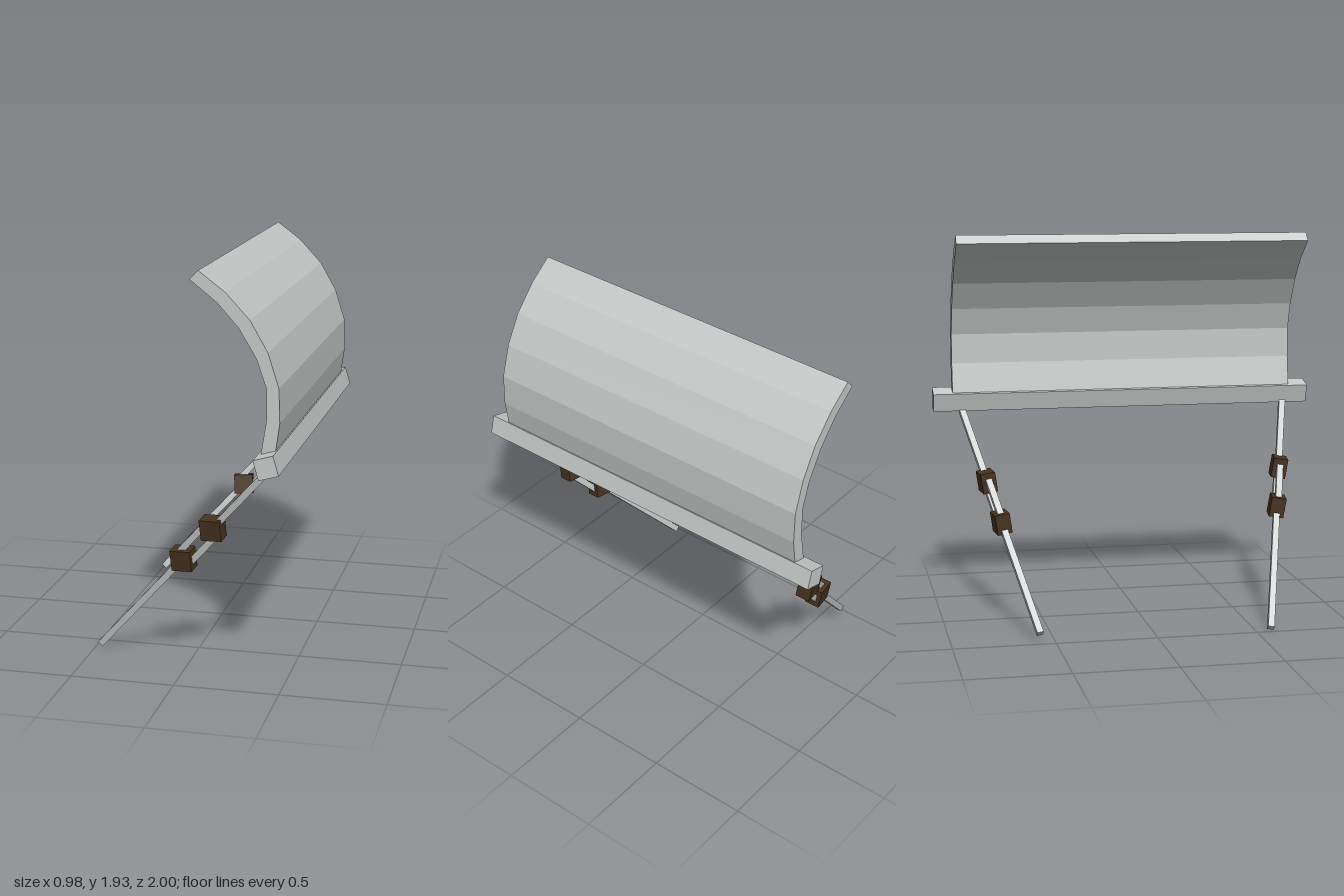
import * as THREE from 'three';

const steel = new THREE.MeshStandardMaterial({ color: 0xc3c8c6 });
steel.name = 'pale steel';
const brown = new THREE.MeshStandardMaterial({ color: 0x46331f });
brown.name = 'dark brown';

function box(name, w, h, d, material) {
  const mesh = new THREE.Mesh(new THREE.BoxGeometry(w, h, d), material);
  mesh.name = name;
  return mesh;
}

// Strut from foot to head; t0 and t1 place the two clamps along it
function makeStrut(name, foot, head, t0, t1) {
  const strut = new THREE.Group();
  strut.name = name;
  const along = head.clone().sub(foot);
  const length = along.length();
  const dir = along.normalize();
  const side = new THREE.Vector3(0, 0, 1).addScaledVector(dir, -dir.z).normalize();
  const across = new THREE.Vector3().crossVectors(dir, side);
  // local y runs up the strut, local z faces sideways
  strut.quaternion.setFromRotationMatrix(new THREE.Matrix4().makeBasis(across, dir, side));
  strut.position.copy(foot);

  const rod = (rodName, a, b, x) => {
    const mesh = box(rodName, 0.032, (b - a) * length, 0.032, steel);
    mesh.position.set(x, ((a + b) / 2) * length, 0);
    strut.add(mesh);
  };
  rod('lowerRod', 0, t0, 0);
  rod('upperRod', t1, 1, 0);
  for (const x of [-0.036, 0.036]) rod('turnbuckleRod', t0, t1, x);

  for (const t of [t0, t1]) {
    const clamp = box('clamp', 0.102, 0.102, 0.075, brown);
    clamp.position.y = t * length;
    clamp.rotation.z = Math.PI / 4;
    strut.add(clamp);
  }
  return strut;
}

export function createModel() {
  const model = new THREE.Group();
  model.name = 'curvedShieldOnStruts';

  // Curved panel: faceted arc section run along z
  const section = [
    [0.10, 1.933], [0.224, 1.84], [0.337, 1.718], [0.419, 1.575], [0.47, 1.415], [0.475, 1.255], [0.452, 1.09],
    [0.386, 1.09], [0.413, 1.26], [0.413, 1.41], [0.367, 1.545], [0.286, 1.68], [0.188, 1.79], [0.06, 1.892],
  ];
  const shape = new THREE.Shape(section.map(([x, y]) => new THREE.Vector2(x, y)));
  const panelGeometry = new THREE.ExtrudeGeometry(shape, { depth: 1.8, bevelEnabled: false });
  panelGeometry.translate(0, 0, -0.9);
  const panel = new THREE.Mesh(panelGeometry, steel);
  panel.name = 'curvedPanel';
  model.add(panel);

  // Base beam under the panel, slightly tilted
  const beam = box('baseBeam', 0.096, 0.096, 2, steel);
  beam.position.set(0.432, 1.071, 0);
  beam.rotation.z = 0.28;
  model.add(beam);

  // Two splayed struts
  model.add(
    makeStrut('frontStrut', new THREE.Vector3(-0.478, 0.013, 0.575), new THREE.Vector3(0.43, 1.04, 0.877), 0.506, 0.677),
    makeStrut('backStrut', new THREE.Vector3(-0.465, 0.043, -0.573), new THREE.Vector3(0.43, 1.03, -0.855), 0.472, 0.655),
  );
  return model;
}
